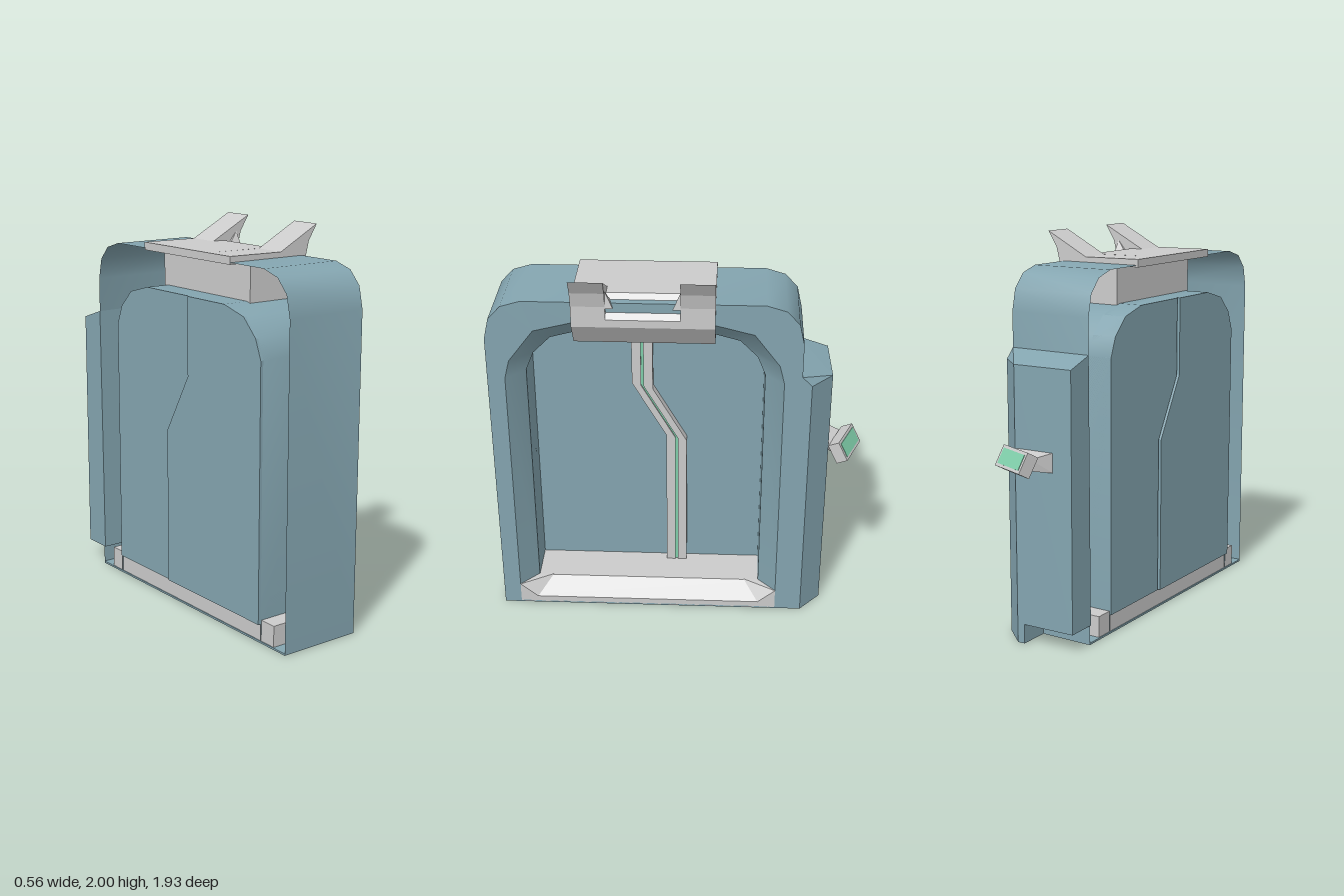
import * as THREE from 'three';
import { toCreasedNormals } from 'three/addons/utils/BufferGeometryUtils.js';
import { ConvexGeometry } from 'three/addons/geometries/ConvexGeometry.js';

const make = (color) => new THREE.MeshStandardMaterial({ color, side: THREE.DoubleSide });
const MID = 0.165; // z of the doorway's centre line

// Mirrors a half outline [offset, y] into a full arch of [z, y] points
const arch = (half) => [
  ...half.map(([d, y]) => [MID + d, y]),
  ...half.slice().reverse().map(([d, y]) => [MID - d, y]),
];

// Skin between outlines that share the same point count: rings = [[x, points], ...]
function loft(rings) {
  const pos = [], index = [], n = rings[0][1].length;
  for (const [x, pts] of rings) for (const [z, y] of pts) pos.push(x, y, z);
  for (let r = 0; r < rings.length - 1; r++) {
    for (let i = 0; i < n - 1; i++) {
      const a = r * n + i, b = a + n;
      index.push(a, b, a + 1, b, b + 1, a + 1);
    }
  }
  const g = new THREE.BufferGeometry();
  g.setAttribute('position', new THREE.Float32BufferAttribute(pos, 3));
  g.setIndex(index);
  return toCreasedNormals(g, 0.6);
}

const shapeOf = (pts) => new THREE.Shape(pts.map(([a, b]) => new THREE.Vector2(a, b)));

// [z, y] outline with thickness from x0 to x1
function slab(pts, x0, x1) {
  const g = new THREE.ExtrudeGeometry(shapeOf(pts.map(([z, y]) => [-z, y])), { depth: x1 - x0, bevelEnabled: false });
  return g.rotateY(Math.PI / 2).translate(x0, 0, 0);
}

// [x, y] outline running from z0 to z1
const bar = (pts, z0, z1) =>
  new THREE.ExtrudeGeometry(shapeOf(pts), { depth: z1 - z0, bevelEnabled: false }).translate(0, 0, z0);

const hull = (pts) => new ConvexGeometry(pts.map((p) => new THREE.Vector3(...p)));

function block(x0, x1, y0, y1, z0, z1) {
  return new THREE.BoxGeometry(x1 - x0, y1 - y0, z1 - z0)
    .translate((x0 + x1) / 2, (y0 + y1) / 2, (z0 + z1) / 2);
}

export function createModel() {
  const model = new THREE.Group();
  const blue = make(0x84a5b0), grey = make(0xcccccc), green = make(0x80cfab);
  const add = (name, geometry, material, parent = model) => {
    const mesh = new THREE.Mesh(geometry, material);
    mesh.name = name;
    parent.add(mesh);
    return mesh;
  };

  // Frame: outer wall, front rim, bevel and inner wall
  const outer = arch([[0.795, 0], [0.795, 1.64], [0.77, 1.75], [0.705, 1.82], [0.605, 1.85]]);
  const rim = arch([[0.705, 0], [0.705, 1.42], [0.68, 1.52], [0.55, 1.69], [0.35, 1.74]]);
  const inner = arch([[0.61, 0], [0.61, 1.42], [0.57, 1.52], [0.48, 1.61], [0.33, 1.65]]);
  add('frame', loft([[-0.265, outer], [0.185, outer], [0.185, rim], [0.09, inner], [-0.265, inner]]), blue);
  add('frameBottom', block(-0.265, 0.185, 0, 0.01, MID - 0.795, MID + 0.795), blue);

  // Sloping sill with a wedge in each front corner
  add('sill', bar([[-0.26, 0.005], [0.185, 0.005], [0.185, 0.04], [0.09, 0.12], [-0.26, 0.12]], MID - 0.705, MID + 0.705), grey);
  for (const s of [1, -1]) {
    add('sillCorner', hull([
      [0.186, 0.12, MID + s * 0.705], [0.186, 0.04, MID + s * 0.61], [0.09, 0.125, MID + s * 0.53],
      [0.09, 0.125, MID + s * 0.705], [0.186, 0.03, MID + s * 0.705],
    ]), grey);
  }

  // Two door leaves meeting at a kinked seam
  const seam = (d) => [[0.195 + d, 1.65], [0.195 + d, 1.24 + d * 0.3], [0.015 + d, 0.925 + d * 0.3], [0.015 + d, 0.1]];
  const doorEdge = [[0.61, 0.1], [0.61, 1.42], [0.57, 1.52], [0.48, 1.61], [0.33, 1.65]];
  add('doorFront', slab([...doorEdge.map(([d, y]) => [MID + d, y]), ...seam(0.005)], -0.28, -0.14), blue);
  add('doorBack', slab([...doorEdge.map(([d, y]) => [MID - d, y]), ...seam(-0.005)], -0.27, -0.14), blue);
  for (const s of [1, -1]) {
    add('seamRib', slab([...seam(s * 0.007), ...seam(s * 0.055).reverse()], -0.14, -0.09), grey);
  }
  add('seamLight', slab([...seam(0.007), ...seam(-0.007).reverse()], -0.16, -0.1), green);

  // Clasp over the top of the frame, with two upswept claws
  const clasp = new THREE.Group();
  clasp.name = 'topClasp';
  model.add(clasp);
  const under = [[0.21, 1.73], [0.13, 1.61], [-0.14, 1.61], [-0.14, 1.84], [-0.265, 1.84]];
  add('claspMiddle', bar([[-0.265, 1.88], [0.12, 1.877], [0.21, 1.77], ...under], MID - 0.185, MID + 0.185), grey, clasp);
  for (const s of [1, -1]) {
    const z = [MID + s * 0.185, MID + s * 0.355].sort((a, b) => a - b);
    add('claw', bar([[-0.265, 1.88], [0.05, 1.877], [0.28, 2], [0.23, 1.92], [0.21, 1.84], ...under], z[0], z[1]), grey, clasp);
    const e = MID + s * 0.185;
    add('clawGusset', hull([
      [0.2, 1.92, e], [0.21, 1.83, e], [0.21, 1.83, e - s * 0.04], [0.14, 1.85, e], [0.14, 1.85, e - s * 0.02],
    ]), grey, clasp);
  }
  add('lampHousing', block(-0.14, 0, 1.585, 1.62, -0.09, 0.41), grey, clasp);
  add('lamp', block(-0.13, -0.03, 1.54, 1.59, -0.07, 0.4), green, clasp);

  // Side box with a chamfered front corner and a short foot
  const plan = [[-0.265, -0.78], [0.06, -0.79], [0.185, -0.68]];
  add('sideBox', hull([
    ...plan.flatMap(([x, z]) => [[x, 0.1, z], [x, 1.41, z]]),
    ...[-0.265, 0.185].flatMap((x) => [[x, 0.1, -0.62], [x, 1.46, -0.63]]),
  ]), blue);
  add('sideBoxFoot', hull([[0.02, -0.789], [0.06, -0.79], [0.185, -0.68], [0.185, -0.62], [0.02, -0.62]]
    .flatMap(([x, z]) => [[x, 0, z], [x, 0.1, z]])), blue);

  // Tilted control panel on a tapered bracket
  const panel = new THREE.Group();
  panel.name = 'controlPanel';
  panel.position.set(-0.015, 0.96, -0.88);
  panel.rotation.set(-0.5, Math.PI - 0.38, 0, 'YXZ');
  model.add(panel);
  add('panelCase', new THREE.BoxGeometry(0.22, 0.11, 0.065), grey, panel);
  add('panelScreen', new THREE.BoxGeometry(0.19, 0.08, 0.01).translate(0, 0, 0.03), green, panel);
  add('panelBracket', hull([
    [-0.16, 0.9, -0.78], [-0.06, 0.9, -0.78], [-0.16, 1, -0.78], [0.06, 1, -0.78],
    [-0.1, 0.92, -0.87], [0.03, 0.92, -0.84], [-0.1, 0.98, -0.88], [0.03, 0.98, -0.85],
  ]), grey);

  return model;
}
